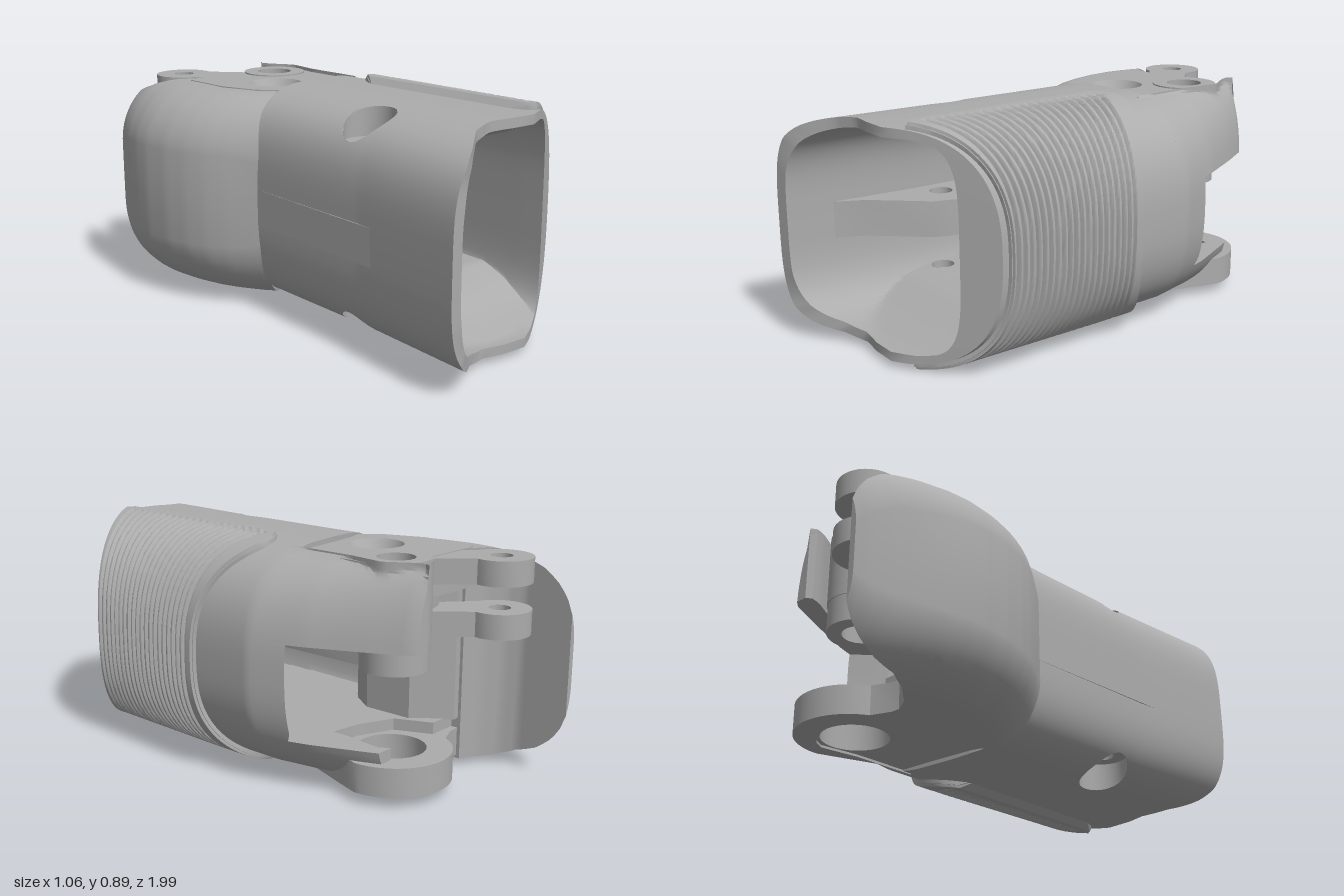
import * as THREE from 'three';
import { toCreasedNormals } from 'three/addons/utils/BufferGeometryUtils.js';

const grey = new THREE.MeshStandardMaterial({ color: 0xacacac, side: THREE.DoubleSide });
grey.name = 'plain grey';

const MID = 0.445, CX = 0.1;          // middle height, split between left and right curves
const HUB = [0.12, -0.56], SCREW = [-0.23, 0.41], SINK = [-0.05, -0.34], EAR = [-0.18, -0.8];

// Linear look-up in a list of [key, value] pairs with rising keys
function at(table, v) {
  if (v <= table[0][0]) return table[0][1];
  for (let i = 1; i < table.length; i++) {
    const [a, p] = table[i - 1], [b, q] = table[i];
    if (v <= b) return p + (q - p) * (v - a) / (b - a);
  }
  return table[table.length - 1][1];
}

// Plan outlines
const bodyLeft = [[-0.1, -0.345], [0, -0.35], [0.5, -0.375], [1, -0.43]];
const bodyRight = [[-0.76, 0.255], [-0.74, 0.28], [-0.7, 0.3], [-0.6, 0.35], [-0.4, 0.44], [-0.2, 0.505], [0.1, 0.505], [0.63, 0.475], [1, 0.46]];
const frontCut = [[-0.43, 0.995], [-0.36, 0.985], [-0.3, 0.95], [-0.2, 0.87], [-0.1, 0.84], [0, 0.86], [0.07, 0.88], [0.17, 0.83], [0.5, 0.63]];
const backCut = [[-0.35, -0.12], [-0.1, -0.19], [0.1, -0.21], [0.35, -0.23], [0.46, -0.34]];
// Floor and ceiling inside close in towards the back, right of the left channel
const innerRise = [[0.45, 0.25], [0.55, 0.28], [0.7, 0.345], [0.82, 0.385]];

// Body cross-section, outer or inner skin
function radii(side, z, inner) {
  const ry = inner ? 0.385 : 0.42;
  if (side < 0) return { rx: CX - at(bodyLeft, z) - (inner ? 0.05 : 0), ry, n: 3.8 };
  return { rx: at(bodyRight, z) - CX - (inner ? 0.13 : 0), ry, n: inner ? 4.5 : 2.6 };
}
const limit = (x, z, inner) => inner && x > -0.285 ? at(innerRise, z) : 1;
function skin(a, z, inner) {
  const c = Math.cos(a), s = Math.sin(a), { rx, ry, n } = radii(c, z, inner);
  const x = CX + Math.sign(c) * rx * Math.abs(c) ** (2 / n);
  return [x, MID + Math.sign(s) * Math.min(ry * Math.abs(s) ** (2 / n), limit(x, z, inner))];
}
function skinRise(x, z, inner) {
  const { rx, ry, n } = radii(x - CX, z, inner);
  return Math.min(limit(x, z, inner), ry * Math.max(0, 1 - (Math.abs(x - CX) / rx) ** n) ** (1 / n));
}

// Surface through rows of points; points flagged with a fourth value bound a hole
function loft(rows, { ring = true, loop = false, caps = false } = {}) {
  const n = rows[0].length, pos = rows.flat().flatMap(p => p.slice(0, 3)), idx = [];
  for (let i = 0; i < rows.length - (loop ? 0 : 1); i++) {
    const k = (i + 1) % rows.length;
    for (let j = 0; j < n - (ring ? 0 : 1); j++) {
      const m = (j + 1) % n;
      if (rows[i][j][3] && rows[i][m][3] && rows[k][j][3] && rows[k][m][3]) continue;
      idx.push(i * n + j, k * n + j, k * n + m, i * n + j, k * n + m, i * n + m);
    }
  }
  if (caps) [0, rows.length - 1].forEach((r, e) => {
    const c = pos.length / 3;
    for (let d = 0; d < 3; d++) pos.push(rows[r].reduce((t, p) => t + p[d], 0) / n);
    for (let j = 0; j < n; j++) {
      const a = r * n + j, b = r * n + (j + 1) % n;
      idx.push(c, e ? b : a, e ? a : b);
    }
  });
  const g = new THREE.BufferGeometry();
  g.setAttribute('position', new THREE.Float32BufferAttribute(pos, 3));
  g.setIndex(idx);
  return toCreasedNormals(g, 0.6);
}

const arc = ([x, z], r, a0, a1, n = 24) => Array.from({ length: n + 1 }, (_, i) => {
  const a = a0 + (a1 - a0) * i / n;
  return [x + r * Math.cos(a), z - r * Math.sin(a)];
});
const circle = (c, r) => arc(c, r, 0, Math.PI * 2, 32).slice(0, -1);

// Plate drawn in plan as [x, z] points, between two heights
function slab(points, y0, y1, holes = []) {
  const v = list => list.map(([x, z]) => new THREE.Vector2(x, -z));
  const shape = new THREE.Shape(v(points));
  holes.forEach(h => shape.holes.push(new THREE.Path(v(h))));
  const g = new THREE.ExtrudeGeometry(shape, { depth: y1 - y0, bevelEnabled: false });
  g.rotateX(-Math.PI / 2);
  g.translate(0, y0, 0);
  return toCreasedNormals(g, 0.6);
}

export function createModel() {
  const group = new THREE.Group();
  const add = (name, geometry) => {
    const mesh = new THREE.Mesh(geometry, grey);
    mesh.name = name;
    group.add(mesh);
    return mesh;
  };

  // Hollow body with wavy front edge and a screw hole above and below
  const N = 120, R = 56, rows = [];
  for (const inner of [false, true]) for (let i = 0; i <= R; i++) {
    const t = inner ? 1 - i / R : i / R, bore = inner ? 0.045 : 0.095;
    rows.push(Array.from({ length: N }, (_, j) => {
      const a = j / N * Math.PI * 2, x0 = skin(a, 0.4, inner)[0];
      const end = at(frontCut, skin(a, 0.9, inner)[0]), start = at(backCut, x0);
      let z = start + (end - start) * t, [x, y] = skin(a, z, inner);
      const dx = x - SCREW[0], dz = z - SCREW[1], d = Math.hypot(dx, dz) || 1e-4;
      if (d > bore || Math.abs(y - MID) < 0.2) return [x, y, z];
      x = SCREW[0] + dx / d * bore;
      z = SCREW[1] + dz / d * bore;
      return [x, MID + Math.sign(y - MID) * skinRise(x, z, inner), z, 1];
    }));
  }
  add('bodyShell', loft(rows, { loop: true }));

  // Counterbores lining the screw holes
  for (const s of [1, -1]) {
    const rim = circle(SCREW, 0.095), neck = circle(SCREW, 0.045);
    add('screwCounterbore', loft([
      rim.map(([x, z]) => [x, MID + s * skinRise(x, z, false), z]),
      rim.map(([x, z]) => [x, MID + s * 0.3, z]),
      neck.map(([x, z]) => [x, MID + s * 0.3, z]),
      neck.map(([x, z]) => [x, MID + s * 0.25, z])]));
  }

  // Ribbed grip pad wrapped round the right side of the plan
  const padBack = [[0.11, 0.06], [0.14, 0], [0.18, -0.06], [0.22, -0.085], [0.28, -0.09], [0.34, -0.06], [0.53, 0.08]];
  const padFront = [[0.1, 0.69], [0.13, 0.77], [0.17, 0.825], [0.5, 0.625]];
  const ribBack = [[0.17, -0.04], [0.53, 0.1]], ribFront = [[0.17, 0.77], [0.53, 0.6]];
  const pad = [], PR = 60, PC = 200, A = 1.555;
  for (let i = 0; i <= PR; i++) {
    const a = A - 2 * A * i / PR, x0 = skin(a, 0.3, false)[0];
    const z0 = at(padBack, x0), z1 = at(padFront, x0), r0 = at(ribBack, x0), r1 = at(ribFront, x0);
    pad.push(Array.from({ length: PC + 1 }, (_, j) => {
      const z = z0 + (z1 - z0) * j / PC, [x, y] = skin(a, z, false);
      const { rx, ry, n } = radii(1, z, false), e = 2 - 2 / n;
      const nx = Math.cos(a) ** e / rx, ny = Math.sign(a) * Math.abs(Math.sin(a)) ** e / ry;
      const l = Math.hypot(nx, ny), s = (z - r0) / (r1 - r0);
      let lift = 0.025;
      if (i === 0 || i === PR || j === 0 || j === PC) lift = -0.012;
      else if (j < 3 || j > PC - 3) lift = 0.015;
      else if (s > 0 && s < 1 && Math.abs(a) < 1.45) {
        lift -= 0.018 * (0.5 - 0.5 * Math.cos(s * 20 * Math.PI * 2)) ** 2;
      }
      return [x + nx / l * lift, y + ny / l * lift, z];
    }));
  }
  add('ribbedGrip', loft(pad, { ring: false }));

  // Curved horn at the back left of the plan, with rounded upper and lower edges
  const hornOut = [[-1, -0.37], [-0.97, -0.395], [-0.9, -0.435], [-0.82, -0.475], [-0.75, -0.502], [-0.65, -0.527], [-0.57, -0.535], [-0.45, -0.525], [-0.35, -0.5], [-0.27, -0.467], [-0.2, -0.425], [-0.08, -0.34]];
  const hornIn = [[-1, -0.345], [-0.8, -0.35], [-0.74, -0.325], [-0.68, -0.27], [-0.64, -0.2], [-0.3, -0.2], [-0.2, -0.15], [-0.14, -0.22], [-0.08, -0.31]];
  const hornRise = [[-1, 0.34], [-0.985, 0.36], [-0.94, 0.385], [-0.88, 0.402], [-0.78, 0.407], [-0.08, 0.407]];
  const horn = [];
  for (let i = 0; i <= 46; i++) {
    const z = -1 + 0.02 * i, xo = at(hornOut, z), xi = at(hornIn, z), h = at(hornRise, z);
    const r = 0.26, top = Math.acos(Math.max(0, 1 - (xi - xo) / r)), ring = [];
    for (let k = -12; k <= 12; k++) {
      const a = Math.abs(k) / 12 * top;
      ring.push([xo + r - r * Math.cos(a), 0.435 + Math.sign(k) * (h - r + r * Math.sin(a)), z]);
    }
    ring.push([xi, ring[24][1], z]);
    ring.unshift([xi, ring[0][1], z]);
    horn.push(ring);
  }
  add('horn', loft(horn, { caps: true }));

  // Rounded cheeks along the back right, above and below the side window
  const cheekIn = [[-0.76, 0.205], [-0.74, 0.19], [-0.7, 0.2], [-0.6, 0.26], [-0.45, 0.24], [-0.18, 0.24]];
  for (const [s, cut, zEnd] of [[1, 0.115, -0.76], [-1, 0.25, -0.64]]) {
    const cheek = [], low = Math.asin((cut / 0.42) ** 1.3);
    for (let i = 0; i <= 24; i++) {
      const z = zEnd + (-0.18 - zEnd) * i / 24, xi = at(cheekIn, z), ring = [];
      for (let k = 0; k <= 14; k++) {
        const [x, y] = skin(low + (1.38 - low) * k / 14, z, false);
        ring.push([Math.max(x, xi), MID + s * (y - MID), z]);
      }
      ring.push([xi, MID + s * cut, z]);
      cheek.push(ring);
    }
    add(s > 0 ? 'upperCheek' : 'lowerCheek', loft(cheek, { caps: true }));
  }

  // Roof with a countersunk hole, and a thicker block round the hub
  const hubHole = circle(HUB, 0.07);
  add('roof', slab([[-0.27, -0.4], [-0.22, -0.25], [-0.15, -0.17], [0.25, -0.17], [0.25, -0.5],
    ...arc(HUB, 0.13, 0.1, Math.PI * 0.8), [-0.1, -0.64], [-0.22, -0.645], [-0.27, -0.62]],
  0.695, 0.845, [hubHole, circle(SINK, 0.105)]));
  add('hubBlock', slab([[-0.06, -0.4], [0.26, -0.36], [0.26, -0.5],
    ...arc(HUB, 0.13, 0.1, Math.PI * 0.8), [-0.06, -0.62]], 0.56, 0.7, [hubHole]));
  const sink = add('countersink', new THREE.LatheGeometry(
    [[0.105, 0.845], [0.06, 0.76], [0.045, 0.76], [0.045, 0.7]].map(p => new THREE.Vector2(...p)), 32));
  sink.geometry = toCreasedNormals(sink.geometry, 0.5);
  sink.position.set(SINK[0], 0, SINK[1]);
  add('hingeHub', slab(circle(HUB, 0.127), 0.45, 0.85, [hubHole]));

  // Floor ending in a wide, thinner ring under the hub
  add('floor', slab([[-0.27, -0.6], [-0.27, -0.4], [-0.22, -0.25], [-0.15, -0.17], [0.25, -0.17], [0.25, -0.38],
    [0.12, -0.4], [-0.02, -0.46], [-0.08, -0.6]], 0.04, 0.195));
  add('floorRing', slab([[-0.25, -0.3], [0.25, -0.3], [0.32, -0.5],
    ...arc(HUB, 0.22, 0, Math.PI * 0.85), [-0.15, -0.63], [-0.27, -0.62]], 0.04, 0.15, [circle(HUB, 0.125)]));

  // Forked link with two pierced ears
  const ear = [...arc(EAR, 0.115, -Math.PI * 0.08, Math.PI * 1.42), [-0.16, -0.64], [0, -0.5], [0.06, -0.62]];
  for (const y of [0.56, 0.75]) add('linkEar', slab(ear, y, y + 0.092, [circle(EAR, 0.04)]));

  // Inner wall behind the horn, and the middle rib that holds the screw
  add('innerWall', slab([[-0.3, -0.16], [-0.24, -0.16], [-0.13, -0.2], [-0.06, -0.3], [-0.06, -0.5], [-0.17, -0.63], [-0.3, -0.62]], 0.19, 0.7));
  add('screwRib', slab([[-0.4, 0.88], [-0.3, 0.7], [-0.12, 0.52], [-0.06, 0.36], [-0.06, -0.3], [-0.34, -0.2]],
    0.355, 0.495, [circle(SCREW, 0.045)]));

  return group;
}
